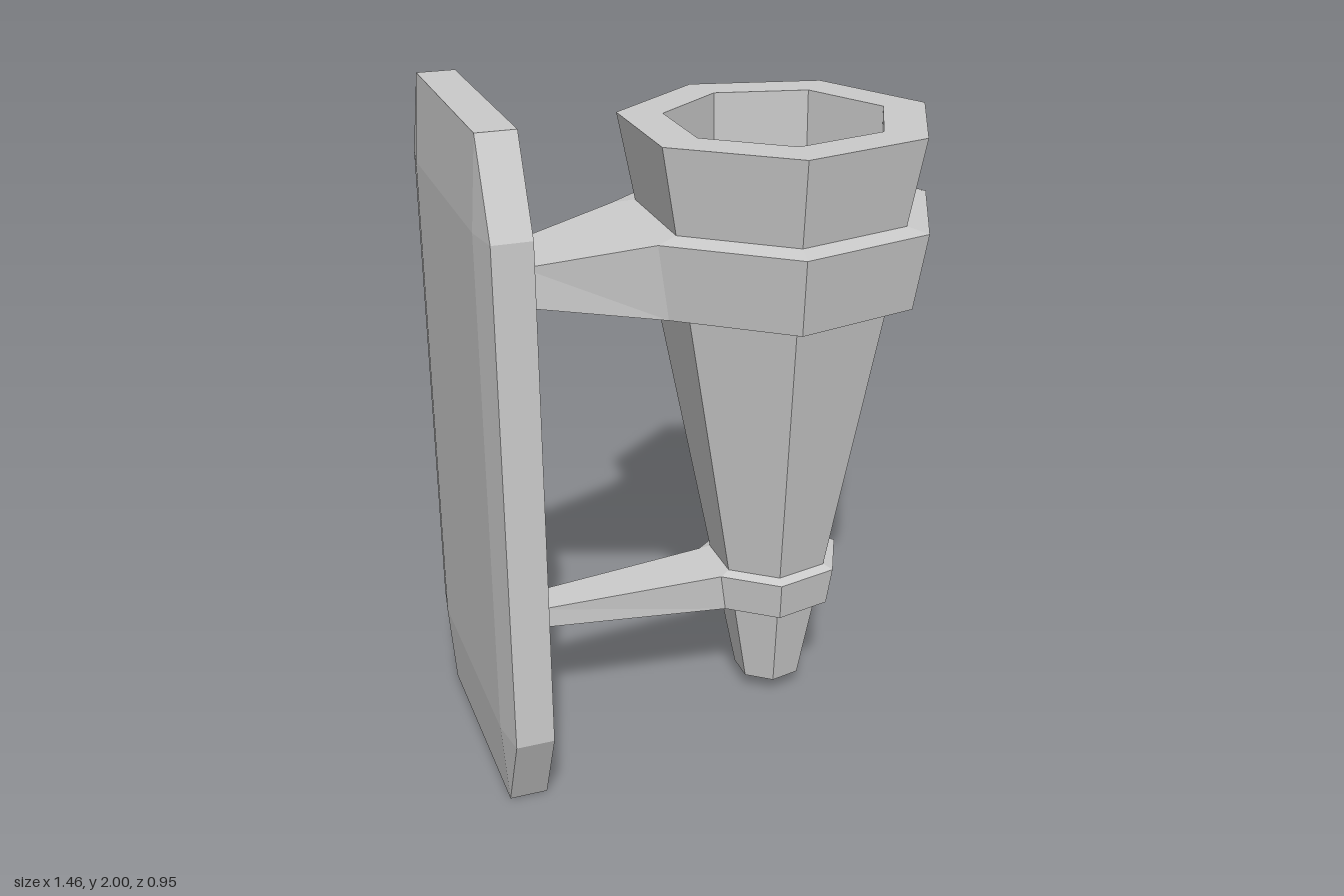
import * as THREE from 'three';

const material = new THREE.MeshStandardMaterial({ color: 0xcccccc, flatShading: true });
const SIDES = 7;
const AXIS_X = 0.245; // the torch axis
const AXIS_Z = -0.004;

// Radius of the tapering torch body at a height
const bodyRadius = (y) => 0.108 + (y - 0.05) * 0.196;

function add(group, geometry, name) {
  const mesh = new THREE.Mesh(geometry, material);
  mesh.name = name;
  group.add(mesh);
  return mesh;
}

// Seven-sided turned part with one corner pointing along +x
function turned(profile) {
  const points = profile.map(([r, y]) => new THREE.Vector2(r, y));
  return new THREE.LatheGeometry(points, SIDES, Math.PI / 2)
    .translate(AXIS_X, 0, AXIS_Z);
}

// Skin over rings of [x, y, z] that advance along +x, closed at both ends
function loft(rings) {
  const positions = [];
  const tri = (a, b, c) => {
    const same = (p, q) => p.every((v, k) => v === q[k]);
    if (!same(a, b) && !same(b, c) && !same(a, c)) positions.push(...a, ...b, ...c);
  };
  const n = rings[0].length;
  for (let r = 0; r < rings.length - 1; r++) {
    for (let i = 0; i < n; i++) {
      const j = (i + 1) % n;
      const [lower, upper] = [rings[r], rings[r + 1]];
      tri(lower[i], lower[j], upper[j]);
      tri(lower[i], upper[j], upper[i]);
    }
  }
  const first = rings[0];
  const last = rings[rings.length - 1];
  for (let i = 1; i < n - 1; i++) {
    tri(first[0], first[i + 1], first[i]);
    tri(last[0], last[i], last[i + 1]);
  }
  const geometry = new THREE.BufferGeometry();
  geometry.setAttribute('position', new THREE.Float32BufferAttribute(positions, 3));
  geometry.computeVertexNormals();
  return geometry;
}

// Wall plate: a chamfered octagon with a slightly raised rectangle on each face
function plateGeometry() {
  const ring = (x, y1, z1, y2, z2) => [
    [y1, -z2], [y1, z2], [y2, z1], [-y2, z1],
    [-y1, z2], [-y1, -z2], [-y2, -z1], [y2, -z1],
  ].map(([y, z]) => [x, 1 + y, z + AXIS_Z]);
  const face = (x) => ring(x, 0.745, 0.35, 0.745, 0.35);
  const edge = (x) => ring(x, 1, 0.466, 0.745, 0.35);
  return loft([face(-0.733), edge(-0.715), edge(-0.604), face(-0.586)]);
}

// Collar around the body: low and high rims with a slight bevel on top
function collarGeometry({ y0, y1, r0, r1 }) {
  return turned([
    [bodyRadius(y0) - 0.01, y0], [r0, y0], [r1, y1], [bodyRadius(y1 + 0.01) - 0.002, y1 + 0.012],
  ]);
}

// Arm: flared foot at the plate, narrow neck, widening to one side of the collar
function armGeometry({ y0, y1, r0, r1, foot, neck, neckX }) {
  const mid = (y0 + y1) / 2 + (neck.dy || 0);
  const rect = (x, hy, hz) => [
    [x, mid + hy, -hz + AXIS_Z], [x, mid + hy, hz + AXIS_Z],
    [x, mid - hy, hz + AXIS_Z], [x, mid - hy, -hz + AXIS_Z],
  ];
  const half = Math.PI / SIDES;
  const end = (y, r, s) => [AXIS_X - r * Math.cos(half), y, s * r * Math.sin(half) + AXIS_Z];
  return loft([
    rect(-0.588, foot.hy, foot.hz),
    rect(neckX, neck.hy, neck.hz),
    [end(y1, r1, -1), end(y1, r1, 1), end(y0, r0, 1), end(y0, r0, -1)],
  ]);
}

export function createModel() {
  const model = new THREE.Group();
  model.name = 'wallTorch';

  add(model, plateGeometry(), 'wallPlate');

  // Hollow tapering body with a heptagonal well
  add(model, turned([
    [0, 0.05], [bodyRadius(0.05), 0.05], [bodyRadius(1.875), 1.875],
    [0.331, 1.875], [0.331, 1.45], [0, 1.45],
  ]), 'torchBody');

  // Two collars, each carried by an arm from the plate
  const brackets = {
    upper: {
      y0: 1.375, y1: 1.605, r0: 0.445, r1: 0.485, neckX: -0.547,
      foot: { hy: 0.112, hz: 0.2 }, neck: { hy: 0.058, hz: 0.106 },
    },
    lower: {
      y0: 0.34, y1: 0.463, r0: 0.205, r1: 0.225, neckX: -0.527,
      foot: { hy: 0.088, hz: 0.122 }, neck: { hy: 0.032, hz: 0.055, dy: 0.006 },
    },
  };
  for (const [name, spec] of Object.entries(brackets)) {
    const bracket = new THREE.Group();
    bracket.name = `${name}Bracket`;
    add(bracket, collarGeometry(spec), `${name}Collar`);
    add(bracket, armGeometry(spec), `${name}Arm`);
    model.add(bracket);
  }
  return model;
}
